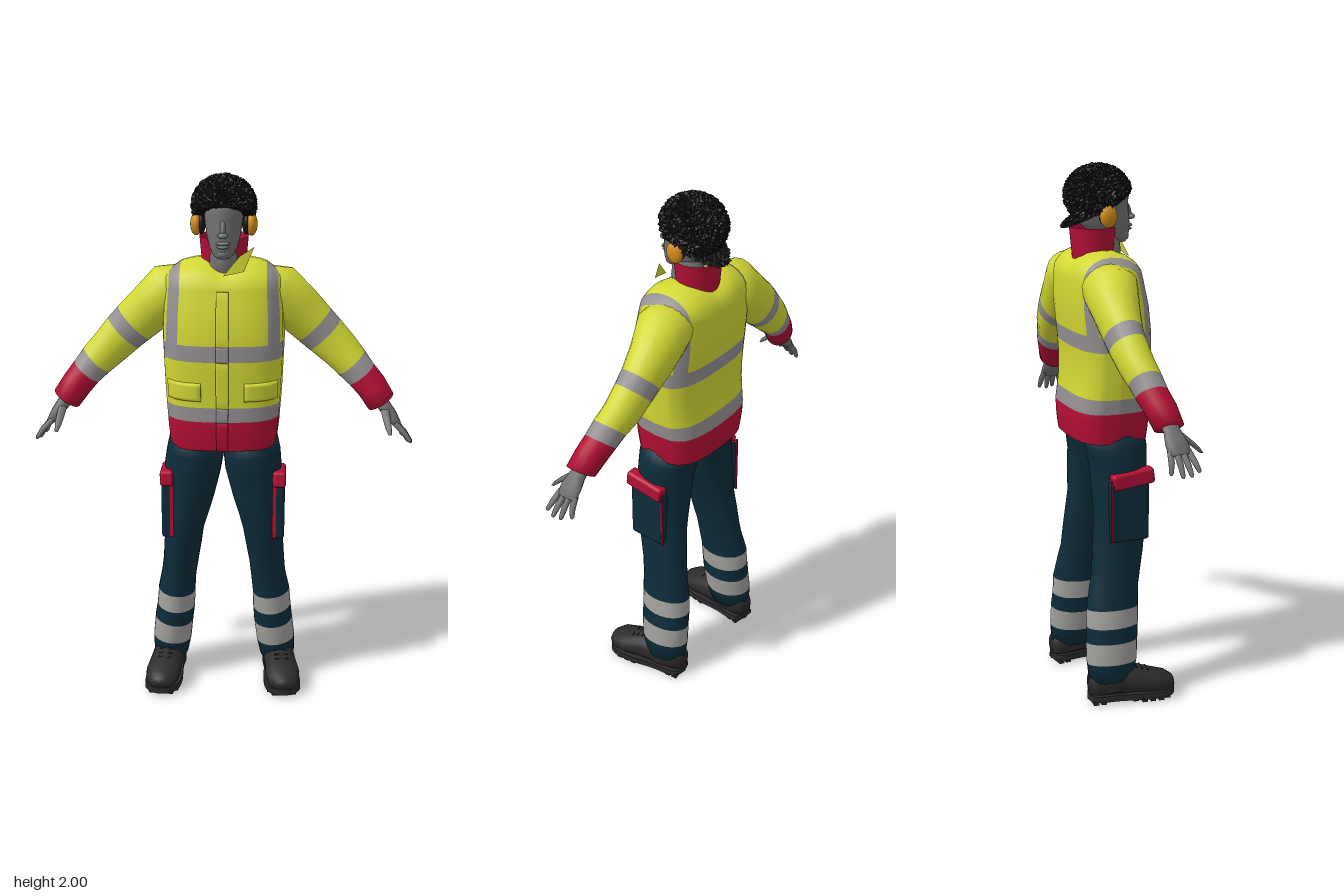
import * as THREE from 'three';
import { RoundedBoxGeometry } from 'three/addons/geometries/RoundedBoxGeometry.js';

const paint = (name, color, double) => {
  const m = new THREE.MeshStandardMaterial({ color });
  m.name = name;
  if (double) m.side = THREE.DoubleSide;
  return m;
};

export function createModel() {
  const yellow = paint('safety yellow', 0xd3d834, true);
  const silver = paint('reflective grey', 0x949092, true);
  const red = paint('crimson', 0xb40f34, true);
  const navy = paint('navy cloth', 0x0d2c3b, true);
  const band = paint('pale reflective grey', 0xa3a19e);
  const skin = paint('grey skin', 0x727272);
  const boot = paint('boot charcoal', 0x2b2b2c);
  const hairBlack = paint('hair black', 0x131313);
  const orange = paint('ear muff orange', 0xd18c1a);

  const root = new THREE.Group();
  root.name = 'worker';
  const add = (name, geo, mat, x = 0, y = 0, z = 0, parent = root) => {
    const m = new THREE.Mesh(geo, mat);
    m.name = name;
    m.position.set(x, y, z);
    parent.add(m);
    return m;
  };

  // Smooth grid surface; pick(i, j) chooses a material index for each cell
  const grid = (ni, nj, point, pick = () => 0, wrap = false) => {
    const pos = [], buckets = [], cols = wrap ? nj : nj + 1;
    for (let i = 0; i <= ni; i++) for (let j = 0; j < cols; j++) pos.push(...point(i, j));
    for (let i = 0; i < ni; i++) for (let j = 0; j < nj; j++) {
      const k = (j + 1) % cols;
      const a = i * cols + j, b = i * cols + k, c = b + cols, d = a + cols;
      (buckets[pick(i, j)] ??= []).push(a, b, d, b, c, d);
    }
    const g = new THREE.BufferGeometry();
    g.setAttribute('position', new THREE.Float32BufferAttribute(pos, 3));
    const index = [];
    buckets.forEach((list, m) => {
      g.addGroup(index.length, list.length, m);
      index.push(...list);
    });
    g.setIndex(index);
    g.computeVertexNormals();
    return g;
  };

  // Tube of oval rings [x, y, z, ru, rv]; v is the fixed ring axis, ends are closed
  const Z = new THREE.Vector3(0, 0, 1), Y = new THREE.Vector3(0, 1, 0);
  const loft = (secs, { v = Z, pick, n = 20, side = 1, fold = 0 } = {}) => {
    const P = secs.map(s => new THREE.Vector3(s[0] * side, s[1], s[2]));
    const rings = secs.map((s, i) => {
      const d = P[Math.min(i + 1, P.length - 1)].clone().sub(P[Math.max(i - 1, 0)]);
      return { c: P[i], u: d.cross(v).normalize(), ru: s[3], rv: s[4] };
    });
    const last = rings.length - 1;
    rings.unshift({ ...rings[0], ru: 0.001, rv: 0.001 });
    rings.push({ ...rings[last + 1], ru: 0.001, rv: 0.001 });
    return grid(rings.length - 1, n, (i, j) => {
      const r = rings[i], t = j / n * Math.PI * 2;
      const k = 1 + fold * Math.sin(3 * t + i * 2.1);
      return r.c.clone().addScaledVector(r.u, r.ru * k * Math.sin(t))
        .addScaledVector(v, r.rv * k * Math.cos(t)).toArray();
    }, pick && (i => pick(Math.min(Math.max(i - 1, 0), last - 1))), true);
  };

  const look = (table, t) => {
    let i = 0;
    while (i < table.length - 2 && t > table[i + 1][0]) i++;
    const [a, b] = [table[i], table[i + 1]];
    const k = THREE.MathUtils.clamp((t - a[0]) / (b[0] - a[0]), 0, 1);
    return a.slice(1).map((q, n) => q + (b[n + 1] - q) * k);
  };

  // Jacket body: height, half width, front z, back z
  const body = [[1, .2, .122, -.16], [1.06, .208, .13, -.168], [1.12, .212, .13, -.168],
    [1.2, .218, .13, -.152], [1.3, .222, .134, -.15], [1.4, .226, .134, -.16],
    [1.5, .224, .122, -.172], [1.6, .216, .098, -.172]];
  const shoulder = [[0, 1.675], [.35, 1.7], [.7, 1.685], [1, 1.64]];
  const torso = (y, f, s, off = 0) => {
    const [rx, zf, zb] = look(body, y);
    const w = Math.cbrt(Math.max(0, 1 - Math.abs(f) ** 3));
    return [f * rx, y, -.03 + ((s > 0 ? zf : zb) + .03) * w + off * s];
  };
  const rowsY = [1, 1.03, 1.075, 1.115, 1.17, 1.22, 1.28, 1.345, 1.405, 1.45, 1.5, 1.55, 1.6];
  const half = [0, .15, .3, .45, .6, .73, .82, .92, .97, 1];
  const cols = [...half.slice(1).reverse().map(f => -f), ...half];
  const caps = 5, top = rowsY.length - 1 + caps;
  const bodyPoint = (i, j) => {
    const s = i <= top ? 1 : -1, r = s > 0 ? i : 2 * top - i, f = cols[j];
    if (r < rowsY.length) return torso(rowsY[r], f, s);
    const a = (r - rowsY.length + 1) / caps * Math.PI / 2;
    const [x, , z] = torso(1.6, f, s);
    const zc = -.05 + .02 * Math.abs(f) ** 4;
    return [x, 1.6 + (look(shoulder, Math.abs(f))[0] - 1.6) * Math.sin(a), zc + (z - zc) * Math.cos(a)];
  };
  const bodyColor = (i, j) => {
    const r = i < top ? i : 2 * top - 1 - i;
    const f = Math.abs(cols[j] + cols[j + 1]) / 2;
    if (r < 3) return 2;
    return r === 3 || r === 7 || (r > 7 && f > .73 && f < .92) ? 1 : 0;
  };
  const jacket = [yellow, silver, red];
  add('jacketBody', grid(2 * top, cols.length - 1, bodyPoint, bodyColor), jacket);

  // Padded patches that follow the jacket front
  const patch = (name, mat, f0, f1, y0, y1, off) => {
    const n = 8, t = i => THREE.MathUtils.clamp((i - 1) / (n - 2), 0, 1);
    add(name, grid(n, n, (i, j) => torso(y0 + (y1 - y0) * t(i), f0 + (f1 - f0) * t(j), 1,
      i % n && j % n ? off : 0)), mat);
  };
  patch('placketUpper', yellow, -.11, .1, 1.405, 1.6, .008);
  patch('placketBelt', silver, -.11, .1, 1.345, 1.405, .008);
  patch('placketLower', yellow, -.11, .1, 1.17, 1.345, .008);
  patch('placketStripe', silver, -.11, .1, 1.115, 1.17, .008);
  patch('placketHem', red, -.11, .1, 1, 1.115, .008);
  for (const s of [-1, 1]) {
    const [a, b] = s > 0 ? [.36, .92] : [-.92, -.36];
    patch('pocketFlap', yellow, a, b, 1.2, 1.265, .018);
  }

  // Standing collar and folded lapel
  add('collar', grid(4, 28, (i, j) => {
    const t = .45 + j / 28 * (Math.PI * 2 - .9), k = i / 4;
    return [(.08 + .01 * k) * Math.sin(t), 1.66 + .115 * k, -.055 + (.074 + .011 * k) * Math.cos(t)];
  }), red);
  const flap = [[[.0, 1.655, .09], [.075, 1.67, .08]], [[.06, 1.725, .072], [.112, 1.75, .03]]];
  add('lapel', grid(1, 1, (i, j) => flap[i][j]), yellow);

  // Head: rings from neck and chin to crown
  add('neck', loft([[0, 1.6, -.03, .06, .06], [0, 1.68, -.005, .052, .058], [0, 1.78, -.02, .05, .06]]), skin);
  const head = [[1.713, .022, .072, .03], [1.725, .038, .08, 0], [1.75, .052, .086, -.06],
    [1.78, .06, .088, -.1], [1.82, .067, .083, -.12], [1.86, .071, .081, -.125],
    [1.89, .072, .083, -.125], [1.93, .068, .068, -.115], [1.96, .05, .04, -.09]];
  add('head', loft(head.map(([y, rx, f, b]) => [0, y, (f + b) / 2, rx, (f - b) / 2]), { n: 28 }), skin);
  const ball = new THREE.SphereGeometry(1, 20, 14);
  const blob = (name, mat, x, y, z, a, b, c, parent) => {
    const m = add(name, ball, mat, x, y, z, parent);
    m.scale.set(a, b, c);
    return m;
  };
  blob('noseBridge', skin, 0, 1.825, .083, .01, .032, .013).rotation.x = -.25;
  blob('noseTip', skin, 0, 1.803, .094, .019, .011, .016);
  blob('upperLip', skin, 0, 1.773, .085, .026, .007, .013);
  blob('lowerLip', skin, 0, 1.76, .083, .022, .007, .013);
  blob('chin', skin, 0, 1.733, .071, .022, .016, .014);

  // Curly hair: a rough ball trimmed back from the face
  const hair = new THREE.IcosahedronGeometry(1, 22), hp = hair.attributes.position;
  const hash = (x, y, z) => {
    const q = Math.sin(Math.round(x * 500) * 12.9898 + Math.round(y * 500) * 78.233 + Math.round(z * 500) * 37.719) * 43758.5453;
    return q - Math.floor(q);
  };
  for (let i = 0; i < hp.count; i++) {
    const [x, y, z] = [hp.getX(i), hp.getY(i), hp.getZ(i)];
    const r = .93 + .12 * hash(x, y, z);
    const py = 1.888 + y * r * .111;
    const limit = .02 + (py - 1.875) * 2 + .012 * hash(z, x, y);
    hp.setXYZ(i, x * r * .117, py, Math.min(-.035 + z * r * .125, limit));
  }
  hair.computeVertexNormals();
  add('hair', hair, hairBlack);

  for (const s of [-1, 1]) {
    // Ear muffs
    blob('earMuff', orange, s * .1, 1.82, -.032, .022, .042, .033);
    blob('earCushion', hairBlack, s * .082, 1.82, -.032, .016, .038, .03);

    // Sleeves with reflective bands and cuffs
    const arm = [[.12, 1.595, -.055, .075, .095], [.2, 1.565, -.06, .104, .1], [.27, 1.5, -.068, .093, .083],
      [.335, 1.438, -.07, .086, .07], [.375, 1.4, -.068, .081, .066], [.43, 1.345, -.06, .073, .063],
      [.475, 1.3, -.045, .067, .06], [.513, 1.258, -.035, .06, .058], [.55, 1.215, -.02, .058, .057],
      [.588, 1.16, -.005, .055, .053]];
    add('sleeve', loft(arm, { side: s, fold: .015, pick: i => i === 3 || i === 6 ? 1 : i > 6 ? 2 : 0 }), jacket);

    // Hands
    const hand = new THREE.Group();
    hand.name = 'hand';
    root.add(hand);
    const finger = (name, list) => add(name, loft(list, { side: s, n: 10 }), skin, 0, 0, 0, hand);
    finger('palm', [[.57, 1.185, -.005, .026, .03], [.6, 1.145, .002, .025, .032],
      [.628, 1.108, .008, .022, .044], [.652, 1.075, .01, .014, .042]]);
    [[.697, 1.022, .062, .043], [.703, 1.01, .032, .022], [.694, 1.006, .004, 0], [.676, 1.016, -.032, -.022]]
      .forEach(([x, y, z, bz]) => finger('finger', [[.638, 1.09, bz, .011, .011],
        [(x + .65) / 2, (y + 1.09) / 2, (z + bz) / 2, .011, .011], [x - .003, y + .006, z, .008, .008], [x, y, z, .004, .004]]));
    finger('thumb', [[.6, 1.14, .025, .016, .016], [.607, 1.11, .06, .015, .014],
      [.613, 1.085, .088, .012, .011], [.618, 1.065, .105, .006, .006]]);

    // Trouser legs, listed from the ankle up
    const leg = [[.212, .085, -.066, .068, .086], [.205, .155, -.06, .075, .097], [.196, .235, -.056, .075, .1],
      [.189, .295, -.053, .074, .1], [.185, .365, -.05, .072, .1], [.174, .44, -.04, .067, .096],
      [.167, .5, -.03, .068, .095], [.158, .58, -.018, .072, .099], [.15, .65, -.01, .075, .1],
      [.14, .72, -.003, .084, .102], [.128, .8, 0, .095, .104], [.115, .9, 0, .107, .108],
      [.107, .96, -.005, .108, .115], [.1, 1.03, -.015, .1, .12]];
    add('trouserLeg', loft(leg, { side: s, n: 24, fold: .012, pick: i => i === 1 || i === 3 ? 1 : 0 }), [navy, band]);

    // Cargo pocket with red flap and trim
    add('cargoPocket', new RoundedBoxGeometry(.05, .23, .15, 2, .012), navy, s * .208, .745, .005);
    const cover = add('cargoFlap', new RoundedBoxGeometry(.05, .06, .165, 2, .012), red, s * .212, .868, .018);
    cover.rotation.x = -.12;
    add('cargoTrim', new THREE.BoxGeometry(.014, .24, .008), red, s * .194, .755, .08);
    add('cargoEdge', new THREE.BoxGeometry(.008, .24, .006), red, s * .231, .75, -.07);

    // Boots
    const foot = new THREE.Group();
    foot.name = 'boot';
    foot.position.set(s * .222, 0, 0);
    foot.rotation.y = s * .12;
    root.add(foot);
    add('bootUpper', loft([[0, .07, -.152, .036, .042], [0, .08, -.12, .055, .06], [0, .085, -.05, .06, .066],
      [0, .076, .03, .062, .056], [0, .064, .09, .068, .046], [0, .056, .145, .06, .038], [0, .05, .174, .034, .024]],
    { v: Y }), boot, 0, 0, 0, foot);
    const shaft = add('bootShaft', new THREE.CylinderGeometry(.058, .058, .11, 20), boot, 0, .105, -.06, foot);
    shaft.scale.z = 1.25;
    const outline = new THREE.Shape(new THREE.SplineCurve([[0, -.16], [.05, -.135], [.056, -.04], [.07, .07],
      [.058, .15], [0, .182], [-.058, .15], [-.07, .07], [-.056, -.04], [-.05, -.135], [0, -.16]]
      .map(p => new THREE.Vector2(...p))).getPoints(40));
    const sole = new THREE.ExtrudeGeometry(outline, { depth: .024, bevelEnabled: false });
    sole.rotateX(Math.PI / 2);
    add('sole', sole, boot, 0, .036, 0, foot);
    for (const z of [-.135, -.105, .02, .052, .084, .116, .146]) {
      add('tread', new THREE.BoxGeometry(z > .03 && z < .12 ? .125 : .095, .016, .02), boot, 0, .008, z, foot);
    }
    for (let k = 0; k < 4; k++) {
      const lace = add('lace', new THREE.CylinderGeometry(.004, .004, .05, 6), hairBlack, 0, .137 - k * .008, .005 + k * .022, foot);
      lace.rotation.z = Math.PI / 2;
    }
  }
  return root;
}
